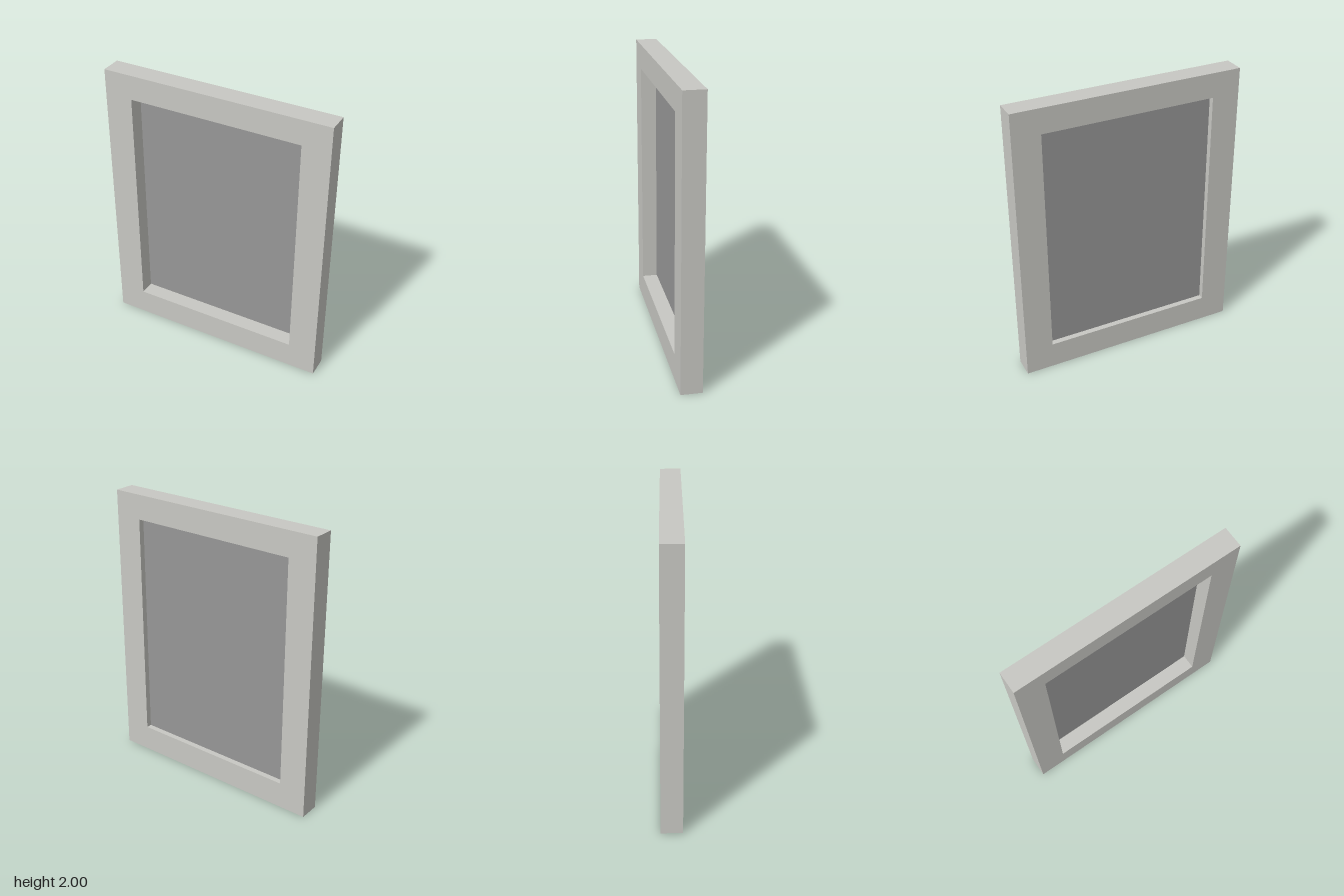
import * as THREE from 'three';

const WIDTH = 1.614, HEIGHT = 2, DEPTH = 0.148;
const OPENING = { left: -0.61, right: 0.61, bottom: 0.19, top: 1.826 };

// Adds a closed rectangle to a shape or path
function rectangle(path, left, right, bottom, top) {
  path.moveTo(left, bottom);
  path.lineTo(right, bottom);
  path.lineTo(right, top);
  path.lineTo(left, top);
  path.closePath();
  return path;
}

export function createModel() {
  const model = new THREE.Group();
  model.name = 'framedPanel';

  const frameMaterial = new THREE.MeshStandardMaterial({ color: 0xc8c8c3 });
  frameMaterial.name = 'pale grey frame';
  const panelMaterial = new THREE.MeshStandardMaterial({ color: 0x979797, side: THREE.DoubleSide });
  panelMaterial.name = 'grey panel';

  // Square-edged frame with a rectangular opening
  const { left, right, bottom, top } = OPENING;
  const outline = rectangle(new THREE.Shape(), -WIDTH / 2, WIDTH / 2, 0, HEIGHT);
  outline.holes.push(rectangle(new THREE.Path(), left, right, bottom, top));
  const frameGeometry = new THREE.ExtrudeGeometry(outline, { depth: DEPTH, bevelEnabled: false });
  frameGeometry.translate(0, 0, -DEPTH / 2);
  const frame = new THREE.Mesh(frameGeometry, frameMaterial);
  frame.name = 'frame';
  model.add(frame);

  // Thin panel filling the opening, set nearer the back
  const panel = new THREE.Mesh(new THREE.PlaneGeometry(right - left, top - bottom), panelMaterial);
  panel.name = 'panel';
  panel.position.set((left + right) / 2, (bottom + top) / 2, -0.034);
  model.add(panel);

  return model;
}
